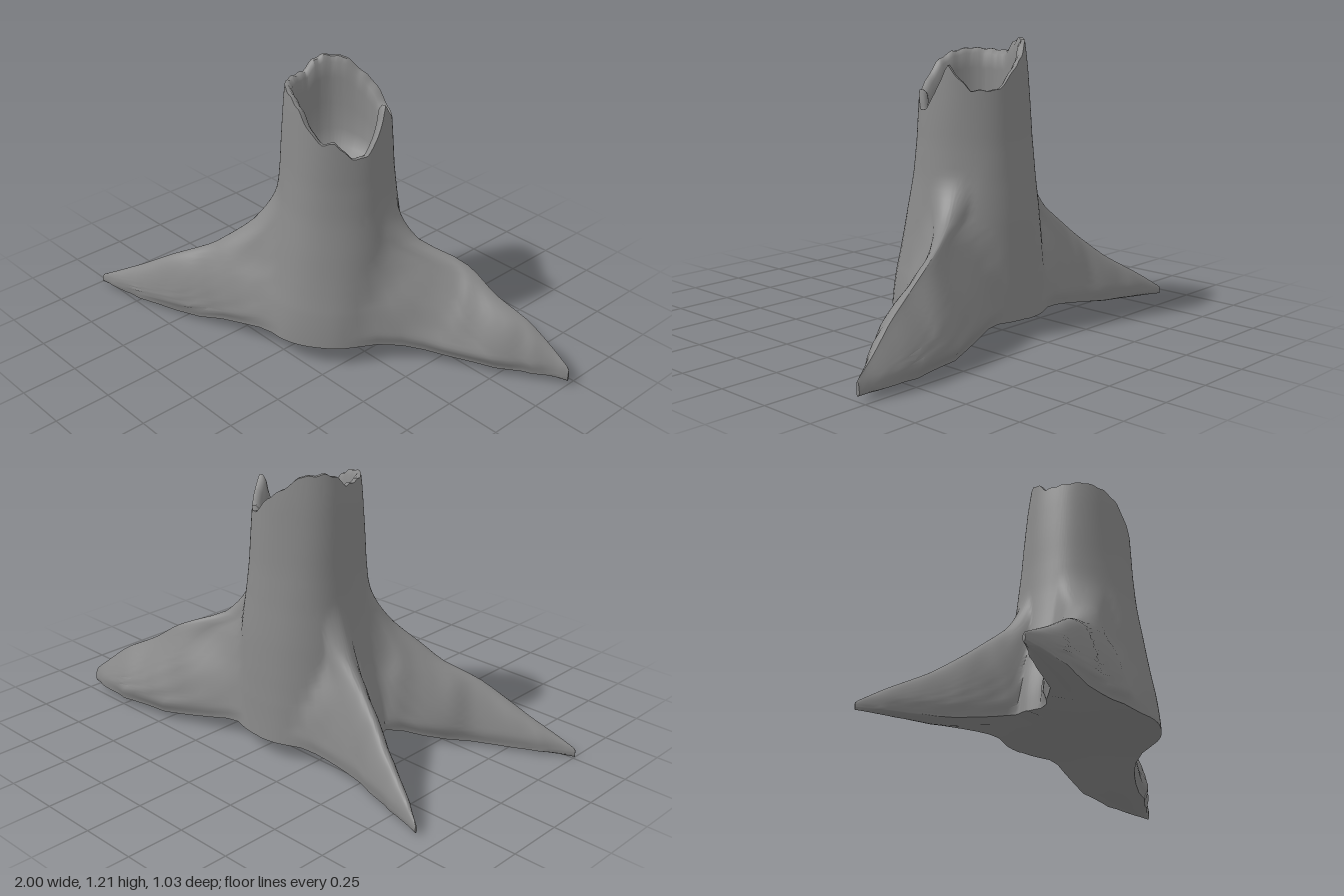
import * as THREE from 'three';
import { toCreasedNormals } from 'three/addons/utils/BufferGeometryUtils.js';

const { lerp, smoothstep, degToRad, clamp } = THREE.MathUtils;
const HALF = 26; // points along each side of a root
const CENTRE_X = -0.01;
const FLARE_TOP = 0.8; // above this height the trunk is plain

// Piecewise-linear lookup in a list of [key, value] pairs
function lookup(table, k) {
  for (let i = 1; i < table.length; i++) {
    const [k0, v0] = table[i - 1], [k1, v1] = table[i];
    if (k <= k1) return lerp(v0, v1, clamp((k - k0) / (k1 - k0), 0, 1));
  }
  return table[table.length - 1][1];
}

// Trunk radius and centre by height, broken rim height by angle
const radius = [[0, 0.332], [0.2, 0.316], [0.35, 0.3], [0.5, 0.28], [0.65, 0.257], [0.8, 0.24], [1, 0.225], [1.1, 0.218], [1.22, 0.204]];
const rim = [[0, 1.0], [14, 0.93], [30, 0.93], [47, 1.0], [60, 0.99], [75, 1.04], [90, 1.11], [108, 1.145],
  [130, 1.16], [180, 1.15], [192, 1.19], [205, 1.21], [235, 1.2], [243, 1.17], [255, 1.14], [270, 1.1], [290, 1.02],
  [320, 1.02], [333, 1.07], [345, 1.12], [351, 1.07], [360, 1.0]];
const centreZ = (y) => lerp(-0.05, -0.077, smoothstep(y, 0, 0.7));

// Roots: angles of the valley before, the root and the valley after; height of the tip's underside;
// roundness of each flank; stations [x, z, half width, crest height]
const roots = [
  { angles: [60, 150, 176], ground: 0, round: [0.55, 0.5],
    stations: [[-0.17, 0.07, 0.12, 0.78], [-0.3, 0.19, 0.155, 0.5], [-0.45, 0.28, 0.128, 0.35], [-0.6, 0.37, 0.085, 0.27],
      [-0.8, 0.445, 0.062, 0.14], [-0.92, 0.49, 0.032, 0.07], [-1, 0.515, 0.006, 0.025]] },
  { angles: [176, 201, 270], ground: 0.01, round: [0.5, 0.6],
    stations: [[-0.2, -0.12, 0.1, 0.78], [-0.35, -0.185, 0.11, 0.48], [-0.5, -0.23, 0.075, 0.33], [-0.65, -0.295, 0.056, 0.2],
      [-0.8, -0.36, 0.034, 0.1], [-0.91, -0.41, 0.006, 0.02]] },
  { angles: [270, 338, 420], ground: 0.02, round: [1.1, 0.55],
    stations: [[0.17, -0.15, 0.15, 0.75], [0.35, -0.26, 0.118, 0.5], [0.5, -0.345, 0.132, 0.43], [0.65, -0.375, 0.14, 0.32],
      [0.8, -0.42, 0.1, 0.23], [0.92, -0.45, 0.048, 0.12], [1, -0.46, 0.008, 0.05]] },
];
for (const root of roots) {
  root.path = new THREE.CatmullRomCurve3(root.stations.map(([x, z]) => new THREE.Vector3(x, 0, z)));
  root.size = new THREE.CatmullRomCurve3(root.stations.map(([, , w, h]) => new THREE.Vector3(w, h, 0)));
}

// How far along a root its crest is still above height y
function reach(root, y) {
  let a = 0, b = 1;
  if (root.size.getPoint(1).y >= y) return 1;
  for (let i = 0; i < 20; i++) {
    const m = (a + b) / 2;
    if (root.size.getPoint(m).y >= y) a = m; else b = m;
  }
  return a;
}

function trunkPoint(deg, y, inset = 0) {
  const a = degToRad(deg);
  // a web fills the narrow valley between the two right-hand roots
  const web = 0.035 * (1 - smoothstep(Math.abs(deg - 176), 0, 28)) * (1 - smoothstep(y, 0.05, 0.55));
  const r = Math.max(0.0005, lookup(radius, y) + web + 0.003 * Math.sin(a * 5 + y * 2) - inset);
  const widen = lerp(1, 1.04, smoothstep(y, 0.6, 1));
  return new THREE.Vector3(CENTRE_X + Math.cos(a) * r * widen, y, centreZ(y) + Math.sin(a) * r);
}

// Every loop uses the same nodes: out along one side of each root and back along the other
const nodes = [];
for (const root of roots) {
  const [before, mid, after] = root.angles;
  for (let j = 0; j < HALF; j++) nodes.push({ root, side: -1, t: j / HALF, deg: lerp(before, mid, j / HALF) });
  for (let j = HALF; j > 0; j--) nodes.push({ root, side: 1, t: j / HALF, deg: lerp(after, mid, j / HALF) });
}
const along = (t) => Math.sin(clamp((t - 0.25) / 0.75, 0, 1) * Math.PI / 2);
const onRoot = (t) => smoothstep(t, 0.2, 0.55);
// the base arches up in the middle
const arch = (p, root) => lerp(0.08, root.ground, smoothstep(Math.hypot(p.x, p.z), 0.2, 0.7));

// Outline of trunk and roots at one height
function outline(y) {
  const ends = new Map(roots.map((root) => [root, reach(root, y)]));
  return nodes.map(({ root, side, t, deg }) => {
    const onTrunk = trunkPoint(deg, y);
    const u = ends.get(root) * along(t);
    const { x: halfWidth, y: crest } = root.size.getPoint(u);
    const dir = root.path.getTangent(u);
    const lumps = 1 + 0.05 * Math.sin(u * 34 + side) + 0.03 * Math.sin(u * 61 + y * 9);
    const w = side * halfWidth * lumps * lerp(0.8, 1, smoothstep(y, 0, 0.06))
      * Math.pow(Math.max(0, 1 - Math.pow(y / Math.max(crest, 0.001), 1.6)), root.round[side < 0 ? 0 : 1]);
    const p = root.path.getPoint(u);
    p.x -= dir.z * w;
    p.z += dir.x * w;
    p.y = y;
    p.lerp(onTrunk, 1 - onRoot(t));
    p.lerp(onTrunk, smoothstep(y, 0.38, 0.78));
    // keep root points outside the trunk
    const cz = centreZ(y), dx = p.x - CENTRE_X, dz = p.z - cz;
    const push = Math.max(1, Math.hypot(onTrunk.x - CENTRE_X, onTrunk.z - cz) / Math.max(Math.hypot(dx, dz), 0.01));
    p.x = CENTRE_X + dx * push;
    p.z = cz + dz * push;
    p.y += (arch(p, root) + 0.012) * (1 - smoothstep(y, 0, 0.4));
    return p;
  });
}

// Centre lines under the roots, meeting below the trunk
function keel() {
  return nodes.map(({ root, t }) => {
    const p = new THREE.Vector3(CENTRE_X, 0, -0.05).lerp(root.path.getPoint(along(t)), onRoot(t));
    p.y = arch(p, root);
    return p;
  });
}

function skin(rings) {
  const n = nodes.length, index = [];
  for (let j = 0; j < rings.length - 1; j++) {
    for (let i = 0; i < n; i++) {
      const a = j * n + i, b = j * n + (i + 1) % n;
      index.push(a, a + n, b, b, a + n, b + n);
    }
  }
  const geometry = new THREE.BufferGeometry().setFromPoints(rings.flat());
  geometry.setIndex(index);
  return toCreasedNormals(geometry, 1.0);
}

export function createModel() {
  const rings = [];

  // Underside, from the centre lines out to the footprint
  const foot = outline(0), middle = keel();
  for (const s of [0, 0.35, 0.65, 0.88]) {
    rings.push(middle.map((p, i) => {
      const q = p.clone().lerp(foot[i], s);
      q.y = lerp(p.y, foot[i].y, s * s);
      return q;
    }));
  }

  // Roots and flared lower trunk
  for (let j = 0; j <= 34; j++) rings.push(outline(FLARE_TOP * Math.pow(j / 34, 1.35)));

  // Upper trunk up to the broken rim
  const rimHeight = (deg) => lookup(rim, deg % 360) + 0.003 * Math.sin(deg * 0.37);
  for (let j = 1; j <= 7; j++) {
    rings.push(nodes.map(({ deg }) => trunkPoint(deg, lerp(FLARE_TOP, rimHeight(deg), j / 7))));
  }

  // Rim edge and hollow: [fraction of the way down, inset from the outside]
  for (const [f, inset] of [[0, 0.016], [0.05, 0.032], [0.2, 0.042], [0.45, 0.05], [0.7, 0.065], [0.86, 0.09], [0.96, 0.14], [1, 0.2], [1, 0.3]]) {
    rings.push(nodes.map(({ deg }) => trunkPoint(deg, lerp(rimHeight(deg), 0.74, f), inset)));
  }

  const stump = new THREE.Mesh(skin(rings), new THREE.MeshStandardMaterial({ color: 0x888888, side: THREE.DoubleSide }));
  stump.name = 'hollowStumpWithRoots';
  const group = new THREE.Group();
  group.name = 'treeStump';
  group.add(stump);
  return group;
}
